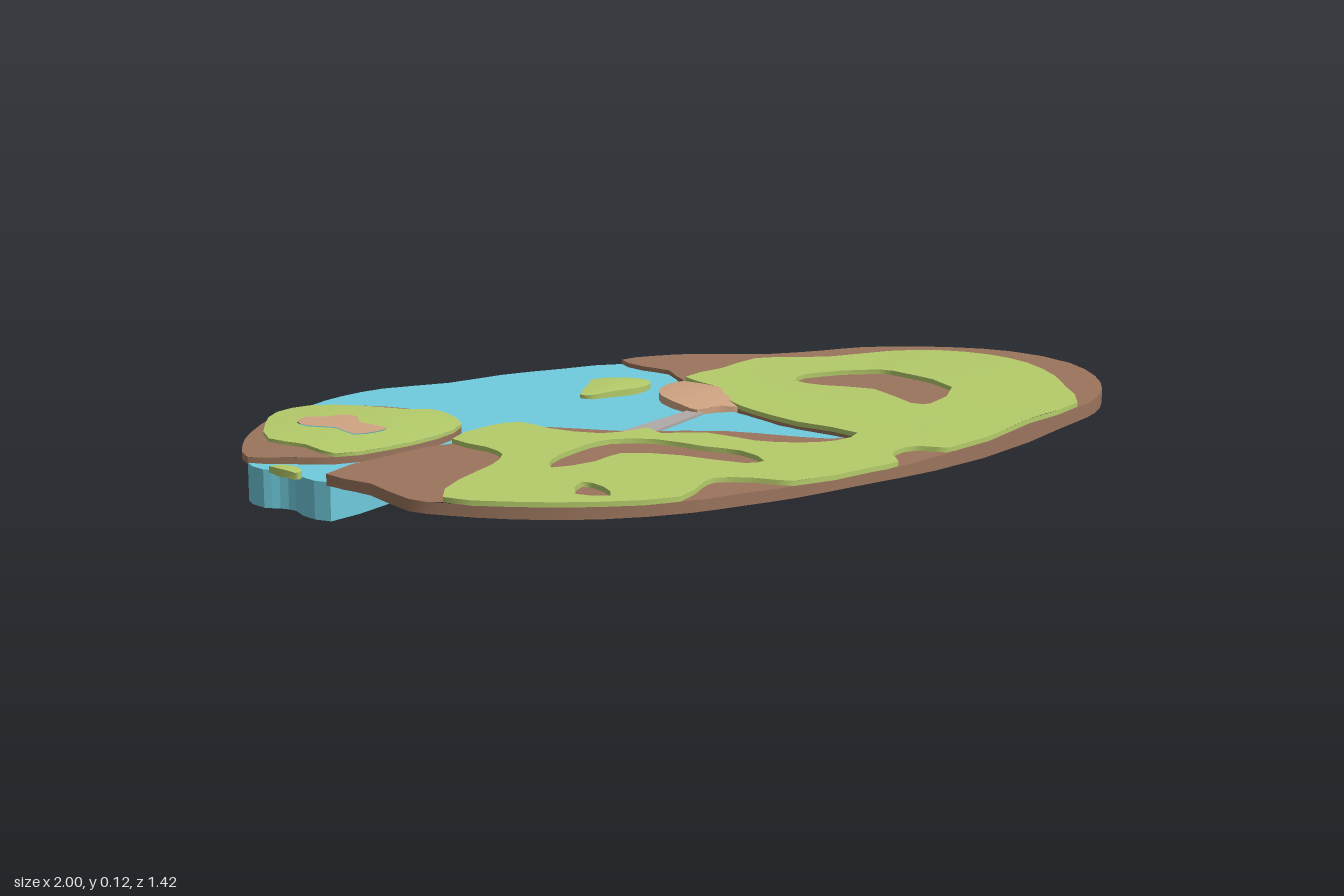
import * as THREE from 'three';
import { mergeVertices } from 'three/addons/utils/BufferGeometryUtils.js';

const material = (color) => new THREE.MeshStandardMaterial({ color, side: THREE.DoubleSide });
const GRASS = material(0xb5cc6a), SOIL = material(0x9b755d), WATER = material(0x6fcbdd);
const SAND = material(0xd0a482), STONE = material(0xb0aaa8);

// Flat [x, z, x, z, ...] list to a rounded outline; y of each Vector2 holds -z
function outline(list, closed = true) {
  const pts = [];
  for (let i = 0; i < list.length; i += 2) pts.push(new THREE.Vector3(list[i], -list[i + 1], 0));
  const curve = new THREE.CatmullRomCurve3(pts, closed, 'centripetal');
  const n = pts.length * 2 - (closed ? 0 : 2);
  const out = [];
  for (let i = 0; i < (closed ? n : n + 1); i++) {
    const p = curve.getPoint(i / n);
    out.push(new THREE.Vector2(p.x, p.y));
  }
  return out;
}

function shapeOf(list, holes = []) {
  const shape = new THREE.Shape(outline(list));
  holes.forEach((h) => shape.holes.push(new THREE.Path(outline(h))));
  return shape;
}

// Ground sheet: the outline is filled, split finely and laid on height(x, z)
function sheet(list, holes, height) {
  const flat = new THREE.ShapeGeometry(shapeOf(list, holes)).rotateX(-Math.PI / 2).toNonIndexed();
  const p = flat.attributes.position, pos = [];
  const v = (i) => new THREE.Vector3().fromBufferAttribute(p, i);
  const split = (a, b, c, level) => {
    if (!level) {
      for (const q of [a, b, c]) pos.push(q.x, height(q.x, q.z), q.z);
      return;
    }
    const ab = a.clone().lerp(b, 0.5), bc = b.clone().lerp(c, 0.5), ca = c.clone().lerp(a, 0.5);
    split(a, ab, ca, level - 1);
    split(ab, b, bc, level - 1);
    split(ca, bc, c, level - 1);
    split(ab, bc, ca, level - 1);
  };
  for (let i = 0; i < p.count; i += 3) split(v(i), v(i + 1), v(i + 2), 3);
  const g = new THREE.BufferGeometry();
  g.setAttribute('position', new THREE.Float32BufferAttribute(pos, 3));
  const merged = mergeVertices(g, 1e-5);
  merged.computeVertexNormals();
  return merged;
}

// Upright strip along an outline, between two height rules
function wall(list, top, bottom, closed = true) {
  const pts = outline(list, closed), pos = [], index = [];
  if (closed) pts.push(pts[0]);
  pts.forEach((p, i) => {
    const x = p.x, z = -p.y;
    pos.push(x, bottom(x, z), z, x, top(x, z), z);
    if (i) index.push(2 * i - 2, 2 * i, 2 * i - 1, 2 * i, 2 * i + 1, 2 * i - 1);
  });
  const g = new THREE.BufferGeometry();
  g.setAttribute('position', new THREE.Float32BufferAttribute(pos, 3));
  g.setIndex(index);
  g.computeVertexNormals();
  return g;
}

// Height rules
const step = THREE.MathUtils.smoothstep;
const WATER_TOP = 0.085;
const soilY = (x, z) => 0.092 + 0.014 * step(Math.abs(x), 0.1, 0.5)
  - 0.012 * step(x, 0.2, 0.5) * (1 - step(z, -0.2, 0.35));
const grassY = (x, z) => soilY(x, z) + 0.011;
const coastBottom = (x, z) => 0.08 - 0.024 * step(x, -0.6, 0.3) + 0.015 * step(x, 0.3, 0.6) * step(z, 0.1, 0.5);
const waterline = () => WATER_TOP - 0.003;
const dome = (cx, cz, r, base, rise) => (x, z) =>
  base + rise * Math.max(0, 1 - ((x - cx) ** 2 + (z - cz) ** 2) / (r * r));
const hillY = dome(-0.7, -0.4, 0.3, 0.104, 0.014);
const hillSoilY = dome(-0.7, -0.4, 0.3, 0.096, 0.014);

// Outlines
const coast = [0.29, -0.47, 0.39, -0.44, 0.47, -0.39, 0.53, -0.32, 0.6, -0.25, 0.72, -0.18, 0.82, -0.13,
  0.9, -0.04, 0.96, 0.06, 1, 0.2, 0.98, 0.4, 0.9, 0.53, 0.8, 0.62, 0.7, 0.67, 0.6, 0.69, 0.4, 0.7, 0.05, 0.705,
  -0.15, 0.69, -0.38, 0.67, -0.5, 0.64, -0.62, 0.6, -0.78, 0.5, -0.9, 0.37, -0.97, 0.25, -1, 0.17,
  -0.97, 0.02, -0.98, -0.11];
const leftBank = [-0.78, -0.13, -0.62, -0.11, -0.48, -0.14, -0.4, -0.12, -0.32, -0.03, -0.26, 0.05,
  -0.2, 0.1, -0.08, 0.22, -0.03, 0.33, 0.02, 0.43, 0.07, 0.47];
const land = [...coast, ...leftBank, 0.06, 0.3, 0.08, 0.15, 0.1, 0.08, 0.14, 0, 0.2, -0.08,
  0.22, -0.2, 0.28, -0.3, 0.27, -0.38];
const meadow = [0.07, 0.47, 0.06, 0.3, 0.08, 0.15, 0.1, 0.08, 0.14, 0, 0.2, -0.08, 0.22, -0.19, 0.35, -0.19,
  0.5, -0.21, 0.57, -0.15, 0.64, -0.08, 0.78, -0.01, 0.86, 0.08, 0.89, 0.22, 0.87, 0.35, 0.8, 0.48, 0.72, 0.57,
  0.6, 0.69, 0.4, 0.7, 0.1, 0.704, 0.07, 0.65, 0.03, 0.63, -0.03, 0.65, -0.07, 0.698, -0.15, 0.69, -0.38, 0.67,
  -0.42, 0.6, -0.48, 0.54, -0.53, 0.55, -0.64, 0.59, -0.78, 0.5, -0.9, 0.37, -0.97, 0.24, -0.85, 0.16,
  -0.72, 0.12, -0.64, 0.07, -0.62, 0, -0.62, -0.11, -0.48, -0.14, -0.4, -0.12, -0.4, -0.03, -0.35, 0.08,
  -0.26, 0.1, -0.22, 0.1, -0.24, 0.16, -0.16, 0.22, -0.14, 0.35, -0.09, 0.43, -0.02, 0.48];
const soilIslands = [
  [-0.65, 0.23, -0.6, 0.18, -0.5, 0.15, -0.38, 0.14, -0.3, 0.2, -0.27, 0.32, -0.24, 0.4, -0.28, 0.5,
    -0.33, 0.49, -0.38, 0.35, -0.46, 0.25, -0.55, 0.26],
  [-0.77, 0.42, -0.69, 0.36, -0.69, 0.42, -0.73, 0.48],
  [0.36, 0.04, 0.43, 0.01, 0.58, 0.12, 0.58, 0.2, 0.53, 0.38, 0.37, 0.44, 0.35, 0.4, 0.4, 0.25, 0.36, 0.12],
];
const soilEdges = [
  [...coast.slice(0, 30), 0.72, 0.57, 0.8, 0.48, 0.87, 0.35, 0.89, 0.22, 0.86, 0.08, 0.78, -0.01, 0.64, -0.08,
    0.57, -0.15, 0.5, -0.21, 0.35, -0.19, 0.22, -0.19, 0.28, -0.3, 0.27, -0.38],
  [0.1, 0.704, 0.07, 0.65, 0.03, 0.63, -0.03, 0.65, -0.07, 0.698, 0.02, 0.705],
  [-0.38, 0.67, -0.42, 0.6, -0.48, 0.54, -0.53, 0.55, -0.64, 0.59, -0.5, 0.64],
  [-0.97, 0.24, -0.85, 0.16, -0.72, 0.12, -0.64, 0.07, -0.62, 0, -0.62, -0.11, -0.78, -0.13, -0.98, -0.11,
    -0.97, 0.02, -1, 0.17],
  [-0.4, -0.12, -0.4, -0.03, -0.35, 0.08, -0.26, 0.1, -0.22, 0.09, -0.26, 0.05, -0.32, -0.03],
  [-0.22, 0.1, -0.24, 0.16, -0.16, 0.22, -0.14, 0.35, -0.09, 0.43, -0.02, 0.48, 0.07, 0.47, 0.02, 0.43,
    -0.03, 0.33, -0.08, 0.22, -0.2, 0.1],
];
const hillShore = [-0.98, -0.37, -0.93, -0.3, -0.86, -0.22, -0.75, -0.18, -0.6, -0.18, -0.48, -0.23, -0.43, -0.33,
  -0.44, -0.45, -0.5, -0.56, -0.6, -0.65];
const hill = [...hillShore, -0.72, -0.6, -0.85, -0.52, -0.93, -0.45];
const hillGrass = [-0.7, -0.61, -0.6, -0.61, -0.53, -0.52, -0.48, -0.42, -0.43, -0.39, -0.43, -0.33, -0.48, -0.23,
  -0.6, -0.18, -0.75, -0.18, -0.86, -0.22, -0.86, -0.32, -0.88, -0.42, -0.8, -0.53];
const hillSoil = [
  [-0.6, -0.65, -0.5, -0.56, -0.44, -0.45, -0.43, -0.39, -0.48, -0.42, -0.53, -0.52, -0.6, -0.61, -0.7, -0.61],
  [-0.7, -0.61, -0.8, -0.53, -0.88, -0.42, -0.86, -0.32, -0.86, -0.22, -0.93, -0.3, -0.98, -0.37,
    -0.93, -0.45, -0.85, -0.52],
];
const hillTop = [-0.75, -0.48, -0.7, -0.5, -0.68, -0.47, -0.63, -0.45, -0.63, -0.41, -0.66, -0.37, -0.65, -0.29,
  -0.69, -0.28, -0.74, -0.3, -0.73, -0.37, -0.76, -0.43];
const islet = [-0.05, -0.28, 0.02, -0.32, 0.07, -0.36, 0.12, -0.34, 0.18, -0.29, 0.14, -0.23, 0.07, -0.21,
  0.01, -0.23, -0.04, -0.25];
const edgeIslet = [-0.995, -0.28, -0.975, -0.27, -0.965, -0.23, -0.98, -0.19, -0.998, -0.19];
const bank = [0.01, 0.04, 0.01, 0, 0.04, -0.1, 0.1, -0.16, 0.23, -0.2, 0.21, -0.08, 0.15, 0, 0.1, 0.09, 0.07, 0.06];
const lake = [-0.53, -0.69, -0.42, -0.71, -0.3, -0.7, -0.15, -0.63, 0, -0.6, 0.15, -0.54, 0.29, -0.47, 0.27, -0.38,
  0.28, -0.3, 0.22, -0.2, 0.1, -0.16, 0.04, -0.1, 0.01, 0, 0.02, 0.04, 0.09, 0.08, 0.06, 0.25];
const lakeWest = [...leftBank.slice(0, 22), -0.96, -0.11];

export function createModel() {
  const root = new THREE.Group();
  const add = (name, geometry, mat) => {
    const mesh = new THREE.Mesh(geometry, mat);
    mesh.name = name;
    root.add(mesh);
  };

  // Lake and river slab, notched around the hill and open below the islet
  const west = [];
  for (let i = lakeWest.length - 4; i >= 0; i -= 2) west.push(lakeWest[i], lakeWest[i + 1]);
  const waterShape = shapeOf([...lake, ...west, -0.97, -0.11, -0.98, -0.19, -0.965, -0.23, -0.975, -0.27,
    -0.995, -0.3, ...hillShore], [islet]);
  add('water', new THREE.ExtrudeGeometry(waterShape, { depth: WATER_TOP, bevelEnabled: false })
    .rotateX(-Math.PI / 2), WATER);

  // Mainland: raised grass layer, sunken soil patches and an outer skirt
  add('meadow', sheet(meadow, soilIslands, grassY), GRASS);
  [meadow, ...soilIslands].forEach((l) => add('meadowEdge', wall(l, grassY, soilY), GRASS));
  [...soilIslands, ...soilEdges].forEach((l) => add('soilPatch', sheet(l, [], soilY), SOIL));
  add('shoreEdge', wall(land, soilY, waterline), SOIL);
  add('coastSkirt', wall(coast, soilY, coastBottom, false), SOIL);

  // Hill in the lake
  add('hillGrass', sheet(hillGrass, [hillTop], hillY), GRASS);
  add('hillGrassEdge', wall(hillGrass, hillY, hillSoilY), GRASS);
  hillSoil.forEach((l) => add('hillSoil', sheet(l, [], hillSoilY), SOIL));
  add('hillSkirt', wall(hill, hillSoilY, waterline), SOIL);
  add('hillTop', sheet(hillTop, [], (x, z) => hillY(x, z) + 0.002), SAND);

  // Islets and sandy bank
  const mound = (name, list, height, mat) => {
    add(name, sheet(list, [], height), mat);
    add(name + 'Edge', wall(list, height, waterline), mat);
  };
  mound('islet', islet, dome(0.06, -0.28, 0.12, 0.092, 0.012), GRASS);
  mound('edgeIslet', edgeIslet, dome(-0.99, -0.23, 0.06, 0.094, 0.006), GRASS);
  mound('sandBank', bank, dome(0.12, -0.06, 0.17, 0.094, 0.014), SAND);

  // Flat stone dam across the river mouth
  const dam = new THREE.Shape([[-0.26, -0.04], [-0.2, -0.095], [0.02, -0.05], [0.01, -0.01]]
    .map(([x, y]) => new THREE.Vector2(x, y)));
  const damGeometry = new THREE.ExtrudeGeometry(dam, { depth: 0.01, bevelEnabled: false }).rotateX(-Math.PI / 2);
  add('dam', damGeometry.translate(0, 0.081, 0), STONE);
  return root;
}
